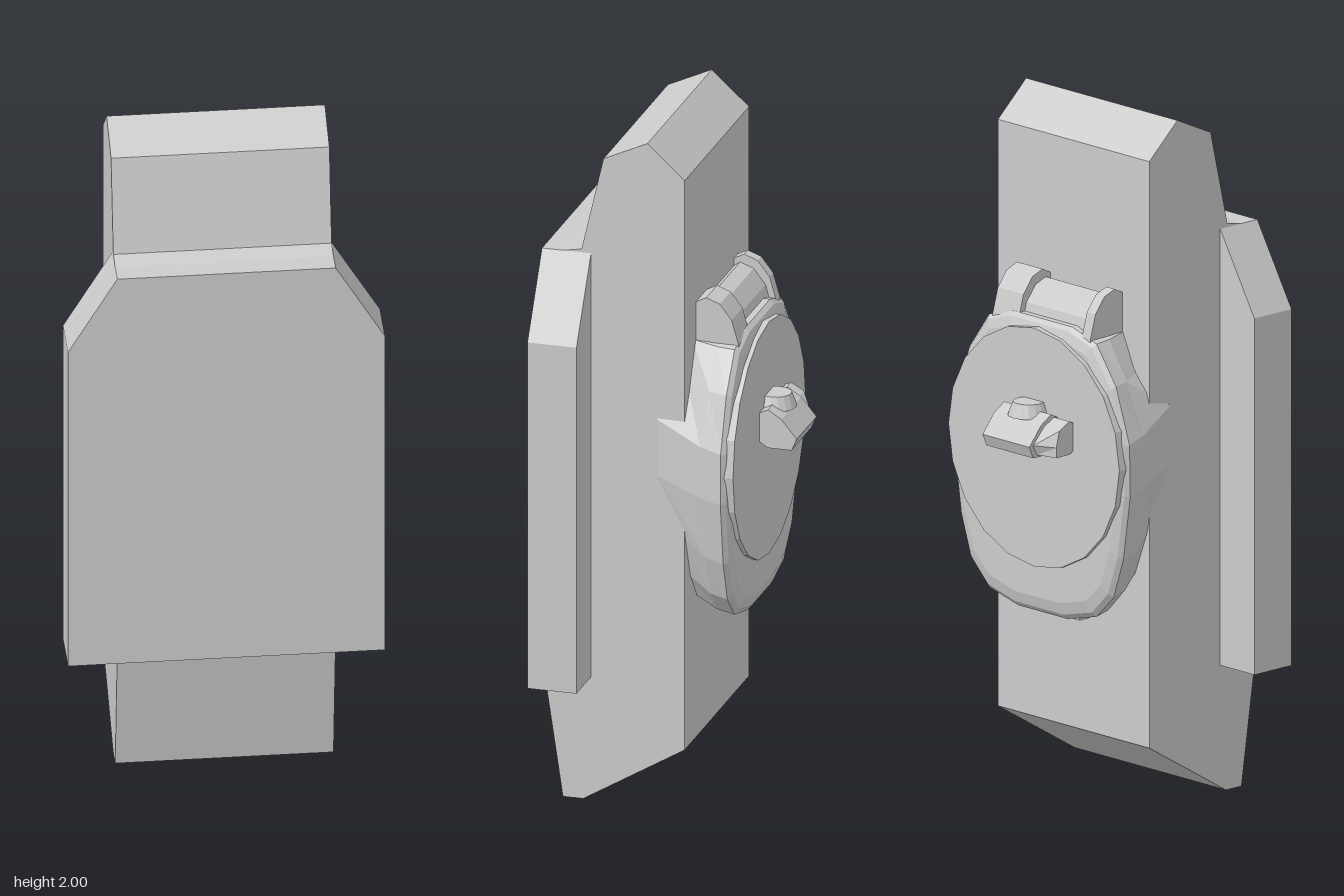
import * as THREE from 'three';

const material = new THREE.MeshStandardMaterial({ color: 0xcccccc, flatShading: true });

function add(parent, name, geometry) {
  const mesh = new THREE.Mesh(geometry, material);
  mesh.name = name;
  parent.add(mesh);
  return mesh;
}

const shapeOf = (points) => new THREE.Shape(points.map(([a, b]) => new THREE.Vector2(a, b)));

// Side profile of (z, y) points, swept from x0 to x1
function sweepX(profile, x0, x1) {
  const g = new THREE.ExtrudeGeometry(shapeOf(profile), { depth: x1 - x0, bevelEnabled: false });
  g.rotateY(-Math.PI / 2);
  g.translate(x1, 0, 0);
  return g;
}

// Mirrors a half ring of (x, y, z) points, ordered top to bottom on +x
const mirrorRing = (half) => [...half, ...half.slice().reverse().map(([x, y, z]) => [-x, y, z])];

// Skin through rings running towards -z, closed with a flat cap
function loft(rings) {
  const n = rings[0].length;
  const index = [];
  for (let r = 0; r < rings.length - 1; r++) {
    for (let i = 0; i < n; i++) {
      const j = (i + 1) % n;
      const a = r * n + i, b = r * n + j;
      index.push(a, b, b + n, a, b + n, a + n);
    }
  }
  const last = (rings.length - 1) * n;
  const centre = rings.length * n;
  for (let i = 0; i < n; i++) index.push(last + i, last + (i + 1) % n, centre);
  const points = [...rings.flat(), [0, 1.02, rings[rings.length - 1][0][2]]];
  const g = new THREE.BufferGeometry();
  g.setAttribute('position', new THREE.Float32BufferAttribute(points.flat(), 3));
  g.setIndex(index);
  const flat = g.toNonIndexed();
  flat.computeVertexNormals();
  return flat;
}

export function createModel() {
  const model = new THREE.Group();
  model.name = 'panelWithDial';

  // Tall core slab with slanted ends
  add(model, 'coreSlab', sweepX([
    [0.28, 0], [0.22, 0], [-0.08, 0.18], [-0.08, 1.9], [0.03, 2], [0.16, 1.94],
    [0.225, 1.66], [0.335, 1.64], [0.335, 0.37],
  ], -0.31, 0.31));

  // Wide front plate with cut upper corners
  const plate = new THREE.ExtrudeGeometry(shapeOf([
    [-0.45, 0.37], [0.45, 0.37], [0.45, 1.415], [0.31, 1.65], [-0.31, 1.65], [-0.45, 1.415],
  ]), { depth: 0.145, bevelEnabled: false });
  plate.translate(0, 0, 0.197);
  add(model, 'frontPlate', plate);

  // Dial housing on the back: flared shell whose sides wrap the slab edges
  const dial = new THREE.Group();
  dial.name = 'dialHousing';
  model.add(dial);
  const base = [
    [0.12, 1.4, -0.07], [0.2, 1.38, -0.07], [0.25, 1.27, -0.07], [0.312, 1.17, 0], [0.312, 1.0, 0],
    [0.3, 0.82, -0.07], [0.25, 0.69, -0.07], [0.19, 0.61, -0.07], [0.1, 0.58, -0.07],
  ];
  const rim = [
    [0.12, 1.4], [0.22, 1.37], [0.3, 1.26], [0.355, 1.1], [0.358, 0.95],
    [0.33, 0.76], [0.29, 0.64], [0.22, 0.57], [0.1, 0.54],
  ];
  const inset = (k, z) => rim.map(([x, y]) => [x * k, 1.02 + (y - 1.02) * k, z]);
  const middle = base.map(([x, y, z], i) => [
    x + (rim[i][0] - x) * 0.75, y + (rim[i][1] - y) * 0.8, z + (-0.16 - z) * 0.85,
  ]);
  add(dial, 'housingShell', loft([base, middle, inset(1, -0.2), inset(0.97, -0.213), inset(0.9, -0.222)].map(mirrorRing)));

  // Top hinge: two lugs holding a lower bar
  const hinge = [
    [-0.07, 1.3], [-0.07, 1.49], [-0.11, 1.51], [-0.15, 1.495], [-0.185, 1.45], [-0.205, 1.38], [-0.213, 1.28],
  ];
  const bar = hinge.map(([z, y]) => [z < -0.1 ? z + 0.012 : z, y > 1.3 ? y - 0.025 : y]);
  add(dial, 'hingeLugLeft', sweepX(hinge, 0.095, 0.2));
  add(dial, 'hingeLugRight', sweepX(hinge, -0.2, -0.165));
  add(dial, 'hingeBar', sweepX(bar, -0.165, 0.095));

  // Round dial face
  const face = new THREE.CylinderGeometry(0.35, 0.35, 0.035, 20);
  face.rotateX(-Math.PI / 2);
  face.translate(0, 1.03, -0.2175);
  add(dial, 'dialFace', face);

  // Small catch under the housing
  const tab = new THREE.BoxGeometry(0.1, 0.03, 0.04);
  tab.translate(-0.1, 0.56, -0.18);
  add(dial, 'lowerCatch', tab);

  // Slanted handle with a narrower end piece and a round button on top
  const handle = [
    [-0.22, 1.06], [-0.22, 1.13], [-0.26, 1.15], [-0.3, 1.125], [-0.345, 1.07], [-0.33, 1.035], [-0.26, 1.035],
  ];
  add(dial, 'handle', sweepX(handle, -0.097, 0.095));
  const end = sweepX(handle.map(([z, y]) => [z * 0.96, 1.085 + (y - 1.085) * 0.85]), -0.16, -0.097);
  const p = end.attributes.position;
  for (let i = 0; i < p.count; i++) {
    if (p.getX(i) < -0.15 && p.getZ(i) < -0.3) p.setZ(i, -0.3);
  }
  end.computeVertexNormals();
  add(dial, 'handleEnd', end);
  const button = new THREE.CylinderGeometry(0.045, 0.06, 0.04, 16);
  button.translate(0, 1.15, -0.255);
  add(dial, 'handleButton', button);

  return model;
}
